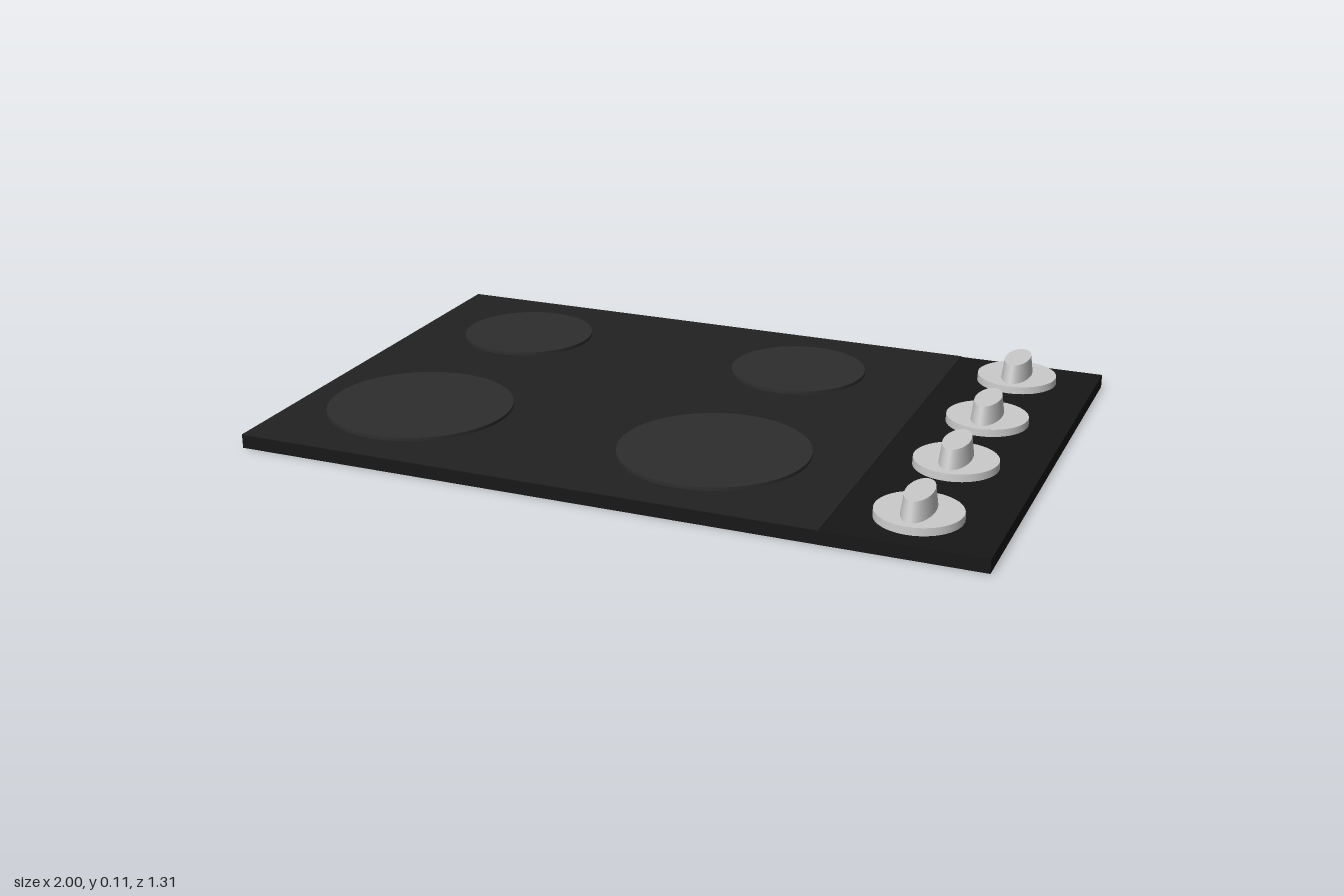
import * as THREE from 'three';

const DEPTH = 1.31;
const SLAB_TOP = 0.036;
const GLASS_TOP = 0.038;

function paint(color) {
  return new THREE.MeshStandardMaterial({ color });
}

export function createModel() {
  const model = new THREE.Group();
  model.name = 'cooktop';
  const panelMat = paint(0x171717);
  const glassMat = paint(0x222222);
  const plateMat = paint(0x2e2e2e);
  const knobMat = paint(0xcccccc);

  function add(parent, name, geometry, material, x, y, z) {
    const mesh = new THREE.Mesh(geometry, material);
    mesh.name = name;
    mesh.position.set(x, y, z);
    parent.add(mesh);
    return mesh;
  }

  // Base slab; its exposed right strip is the control panel
  add(model, 'baseSlab', new THREE.BoxGeometry(2, SLAB_TOP, DEPTH), panelMat, 0, SLAB_TOP / 2, 0);

  // Glass cooking surface, covering the slab up to the control panel
  const glassHeight = GLASS_TOP - SLAB_TOP;
  add(model, 'glassTop', new THREE.BoxGeometry(1.59, glassHeight, DEPTH), glassMat,
    -0.205, SLAB_TOP + glassHeight / 2, 0);

  // Hot plates: small pair at the back, large pair at the front
  const plateHeight = 0.009;
  for (const x of [-0.667, 0.19]) {
    for (const [name, radius, z] of [['smallHotPlate', 0.19, -0.355], ['largeHotPlate', 0.252, 0.3]]) {
      add(model, name, new THREE.CylinderGeometry(radius, radius, plateHeight, 64), plateMat,
        x, GLASS_TOP + plateHeight / 2, z);
    }
  }

  // Control knobs: round flange with a tapered oval grip
  const flangeHeight = 0.02;
  const gripHeight = 0.05;
  for (const z of [-0.518, -0.175, 0.148, 0.49]) {
    const knob = new THREE.Group();
    knob.name = 'knob';
    knob.position.set(0.785, SLAB_TOP, z);
    add(knob, 'knobFlange', new THREE.CylinderGeometry(0.109, 0.11, flangeHeight, 48), knobMat,
      0, flangeHeight / 2, 0);
    const grip = add(knob, 'knobGrip', new THREE.CylinderGeometry(0.074, 0.087, gripHeight, 48), knobMat,
      0, flangeHeight + gripHeight / 2, 0);
    grip.scale.x = 0.46;
    model.add(knob);
  }

  return model;
}
